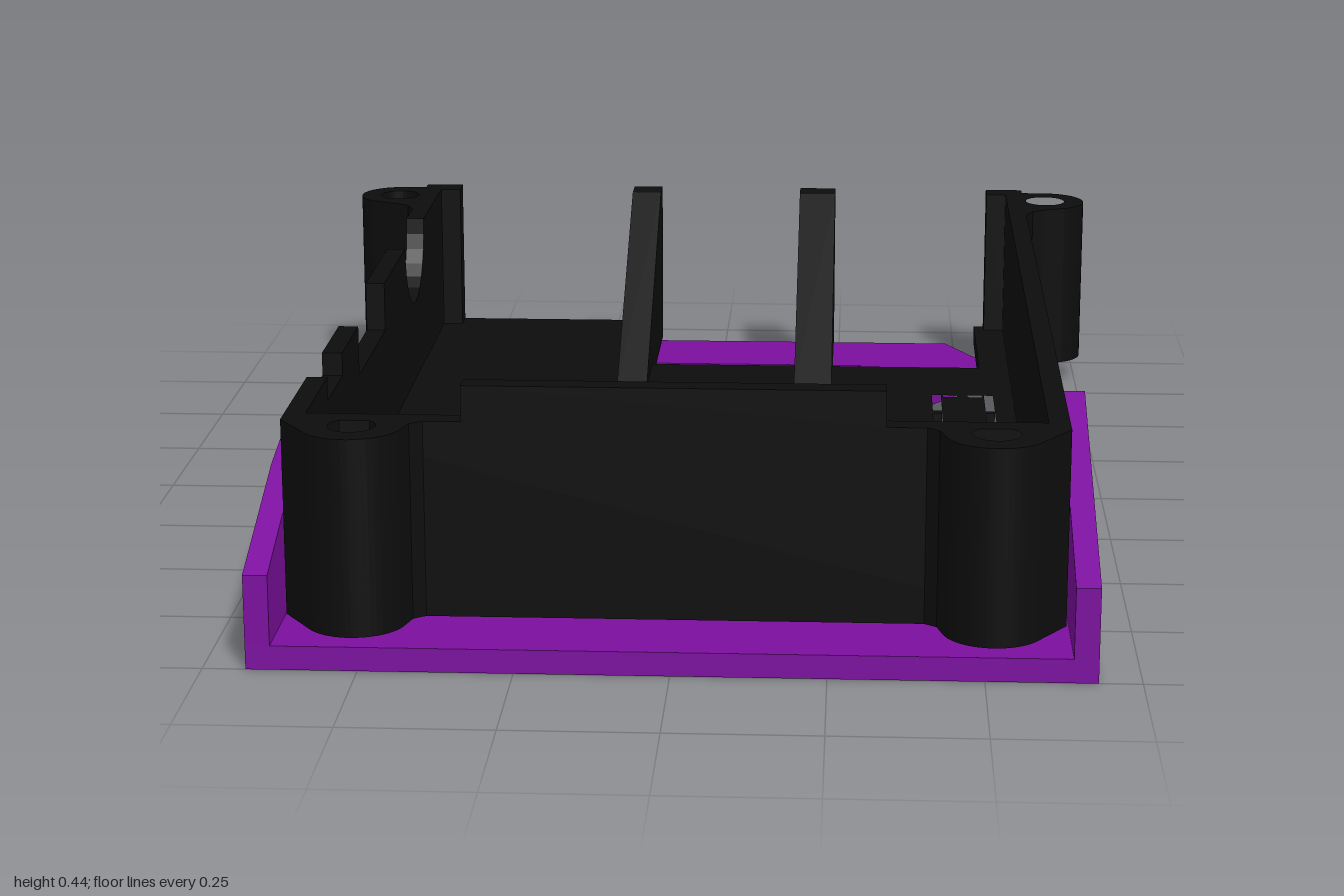
import * as THREE from 'three';

const BLACK = new THREE.MeshStandardMaterial({ color: 0x0d0d0d });
const PURPLE = new THREE.MeshStandardMaterial({ color: 0x7c109f });

// Points on an arc in plan (x, z), angles in degrees from +x towards +z
function arc(cx, cz, r, from, to, n = 16) {
  return Array.from({ length: n + 1 }, (_, i) => {
    const a = THREE.MathUtils.degToRad(from + (to - from) * i / n);
    return [cx + r * Math.cos(a), cz + r * Math.sin(a)];
  });
}
const circle = (cx, cz, r, n = 28) => arc(cx, cz, r, 0, 360, n).slice(0, -1);
const rect = (x0, x1, z0, z1) => [[x0, z0], [x1, z0], [x1, z1], [x0, z1]];
const capsule = (x0, x1, z, r) => [...arc(x1 - r, z, r, -90, 90, 10), ...arc(x0 + r, z, r, 90, 270, 10)];

function add(group, name, geometry, material) {
  const mesh = new THREE.Mesh(geometry, material);
  mesh.name = name;
  group.add(mesh);
}

// Plan outline (x, z) raised from y0 to y1
function slab(outline, holes, y0, y1) {
  const toV = ([x, z]) => new THREE.Vector2(x, -z);
  const shape = new THREE.Shape(outline.map(toV));
  shape.holes = holes.map(h => new THREE.Path(h.map(toV)));
  return new THREE.ExtrudeGeometry(shape, { depth: y1 - y0, bevelEnabled: false })
    .rotateX(-Math.PI / 2).translate(0, y0, 0);
}

// Side profile (z, y) spanning x0 to x1
function panel(profile, x0, x1) {
  const shape = new THREE.Shape(profile.map(([z, y]) => new THREE.Vector2(z, y)));
  return new THREE.ExtrudeGeometry(shape, { depth: x1 - x0, bevelEnabled: false })
    .rotateY(-Math.PI / 2).translate(x1, 0, 0);
}

// Openings shared by the tray and the base plate
const fanHole = () => circle(0, 0.275, 0.295, 64);
const screwHoles = r => [-0.25, 0.25].flatMap(x => [0.03, 0.52].map(z => circle(x, z, r)));
const frontSlot = () => capsule(-0.185, 0.185, 0.715, 0.029);

// Thin vent slots framing two long bars, interrupted by small bridges
function ventSlots() {
  const slots = [];
  for (const [z0, z1, bridges] of [[-0.415, 0.11, [-0.29, -0.02]], [0.125, 0.665, [0.145, 0.53]]]) {
    const cuts = [z0, ...bridges.flatMap(b => [b - 0.01, b + 0.01]), z1];
    for (const x of [0.44, 0.543]) {
      for (let i = 0; i < cuts.length; i += 2) {
        if (cuts[i + 1] - cuts[i] > 0.005) slots.push(rect(x, x + 0.018, cuts[i], cuts[i + 1]));
      }
    }
    for (const x of [0.462, 0.511]) {
      slots.push(rect(x, x + 0.028, z0, z0 + 0.013), rect(x, x + 0.028, z1 - 0.013, z1));
    }
  }
  return slots;
}

function createTray() {
  const tray = new THREE.Group();
  tray.name = 'tray';
  const Y0 = 0.07, FLOOR = 0.105, TOP = 0.4, W = 0.635, T = 0.035;

  // Floor with the open bay at the back
  const outline = [[-W, -1], [-0.13, -1], [-0.13, -0.63], [0.54, -0.63], [0.54, -0.98], [W, -0.98], [W, 0.86], [-W, 0.86]];
  const holes = [fanHole(), ...screwHoles(0.028), frontSlot(), capsule(-0.53, -0.16, -0.13, 0.029), ...ventSlots()];
  add(tray, 'trayFloor', slab(outline, holes, Y0, FLOOR), BLACK);

  // Plain wall on the left, notched wall on the right
  add(tray, 'leftWall', panel([[-1, Y0], [0.86, Y0], [0.86, TOP], [-1, TOP]], W - T, W), BLACK);
  const notch = arc(-0.515, TOP, 0.14, 0, -180, 14).map(([z, y]) => [z, y]);
  add(tray, 'rightWall', panel([
    [-1, Y0], [0.86, Y0], [0.86, TOP], [0.6, TOP], [0.6, 0.36], [0.44, 0.36], [0.44, TOP], [0.25, TOP],
    [0.25, 0.31], [-0.08, 0.31], [-0.08, TOP], ...notch, [-1, TOP],
  ], -W, -W + T), BLACK);

  // Front wall and its raised tab
  add(tray, 'frontWall', slab(rect(-W, W, 0.825, 0.865), [], Y0, TOP), BLACK);
  add(tray, 'frontTab', slab(rect(-0.343, 0.34, 0.825, 0.865), [], TOP, 0.46), BLACK);

  for (const s of [-1, 1]) {
    const side = s > 0 ? 'left' : 'right';
    const mirror = pts => pts.map(([x, z]) => [s * x, z]);

    // Front screw post blended into the corner
    const front = [[0.635, 0.85], [0.635, 0.865], ...arc(0.515, 0.895, 0.083, 35, 165, 18),
      [0.425, 0.88], [0.405, 0.865], [0.4, 0.85]];
    add(tray, side + 'FrontPost', slab(mirror(front), [mirror(circle(0.515, 0.895, 0.039))], Y0, TOP), BLACK);

    // Back screw ear with a concave web to the wall
    const ear = [[0.61, -0.97], ...arc(0.68, -0.89, 0.08, -90, 70, 20),
      [0.675, -0.8], [0.65, -0.785], [0.635, -0.75], [0.61, -0.75]];
    add(tray, side + 'BackEar', slab(mirror(ear), [mirror(circle(0.68, -0.89, 0.04))], Y0, TOP), BLACK);

    // Thickened end of the side wall
    add(tray, side + 'WallEnd', slab(mirror(rect(0.56, 0.61, -1, -0.95)), [], Y0, TOP), BLACK);
  }

  // Triangular fins beside the open bay
  for (const [x0, x1] of [[-0.19, -0.13], [0.165, 0.24]]) {
    add(tray, 'fin', panel([[-1, Y0], [-0.46, Y0], [-0.46, 0.11], [-0.94, TOP], [-1, TOP]], x0, x1), BLACK);
  }
  return tray;
}

function createBase() {
  const base = new THREE.Group();
  base.name = 'base';
  const Y0 = 0.022, Y1 = 0.062, W = 0.68;

  // Plate with crossing arms to a back bar, a side notch and a slot notch
  const outline = [
    [-W, 1], [W, 1], [W, 0.13], [0.58, 0.13], [0.58, 0.71], [0.44, 0.71], [0.43, 0],
    [0.2, -0.29], [0.57, -0.82], [0.48, -0.995], [-0.48, -0.995], [-0.57, -0.82], [-0.2, -0.29],
    [-0.352, -0.16], [-0.16, -0.16], [-0.16, -0.1], [-0.417, -0.1], [-W, 0.12],
  ];
  const holes = [fanHole(), ...screwHoles(0.045), frontSlot(),
    circle(-0.515, 0.895, 0.05), circle(0.515, 0.895, 0.05),
    [[0, -0.52], [0.3, -0.8], [-0.3, -0.8]]];
  add(base, 'basePlate', slab(outline, holes, Y0, Y1), PURPLE);

  // Upright side wings
  add(base, 'leftWing', panel([[1, Y0], [1, 0.18], [0.48, 0.36], [0.18, Y1], [0.13, Y1], [0.13, Y0]], 0.64, W), PURPLE);
  add(base, 'rightWing', panel([[1, Y0], [1, 0.18], [0.71, 0.28], [0.44, 0.33], [0.17, Y1], [0.12, Y1], [0.12, Y0]], -W, -0.64), PURPLE);
  return base;
}

export function createModel() {
  const model = new THREE.Group();
  model.name = 'mountingTray';
  model.add(createTray(), createBase());
  return model;
}
